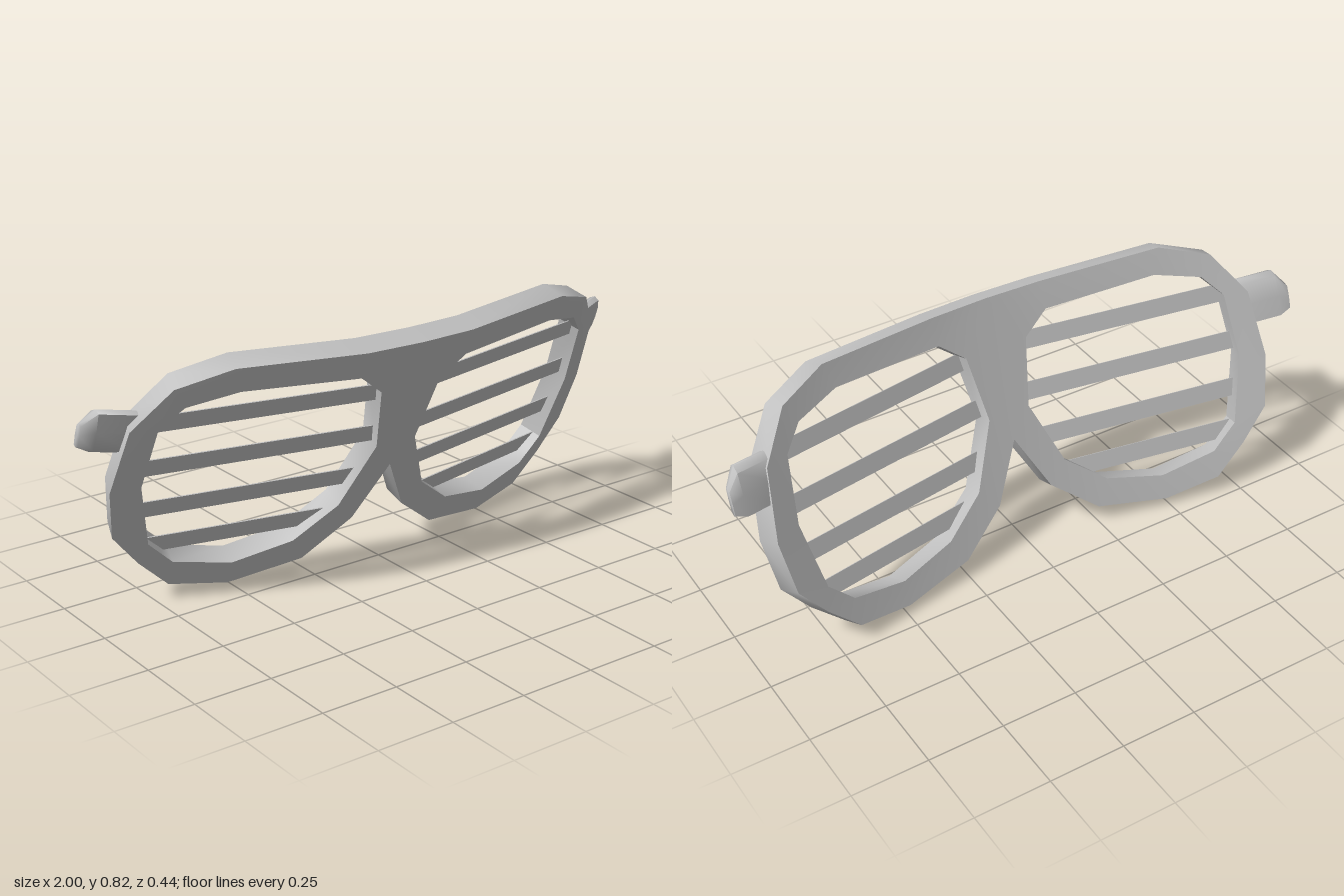
import * as THREE from 'three';
import { toCreasedNormals } from 'three/addons/utils/BufferGeometryUtils.js';

const DEPTH = 0.08;
const TILT = 0.372; // forward lean of the face, dz per dy
const BOW = 0.2;    // wrap around the head, dz = -BOW * x^2

// Moves flat geometry onto the leaning, bowed face; z = 0 is the back, z = DEPTH the front.
function wrap(geometry) {
  const p = geometry.attributes.position;
  const n = new THREE.Vector3();
  for (let i = 0; i < p.count; i++) {
    const x = p.getX(i), y = p.getY(i), back = DEPTH - p.getZ(i);
    n.set(2 * BOW * x, -TILT, 1).normalize();
    p.setXYZ(i, x - back * n.x, y - back * n.y, -0.064 + TILT * y - BOW * x * x - back * n.z);
  }
  return toCreasedNormals(geometry, 0.6);
}

// One half of the frame, clockwise from top centre: outer x, y paired with lens opening x, y
const RIM = [
  [0, 0.777, 0.112, 0.625], [0.2, 0.778, 0.2, 0.692], [0.62, 0.797, 0.59, 0.716],
  [0.787, 0.75, 0.745, 0.685], [0.89, 0.62, 0.81, 0.62], [0.917, 0.41, 0.83, 0.42],
  [0.889, 0.245, 0.78, 0.205], [0.8, 0.137, 0.7375, 0.164], [0.695, 0.037, 0.695, 0.123],
  [0.503, 0.002, 0.503, 0.08], [0.257, 0.037, 0.305, 0.118], [0.1, 0.155, 0.166, 0.22],
  [0, 0.335, 0.075, 0.42],
];

function frameGeometry() {
  const v = [];
  for (const side of [1, -1]) {
    // Corners run anticlockwise for the left half; the mirrored half is turned round
    const quad = (a, b, c, d) => {
      const order = side > 0 ? [a, b, c, a, c, d] : [a, c, b, a, d, c];
      for (const [x, y, z] of order) v.push(side * x, y, z);
    };
    RIM.forEach(([ox, oy, lx, ly], i) => {
      const [ox2, oy2, lx2, ly2] = RIM[(i + 1) % RIM.length];
      const o = z => [ox, oy, z], o2 = z => [ox2, oy2, z];
      const l = z => [lx, ly, z], l2 = z => [lx2, ly2, z];
      quad(o(DEPTH), l(DEPTH), l2(DEPTH), o2(DEPTH)); // front
      quad(o(0), o2(0), l2(0), l(0));                 // back
      quad(l(DEPTH), l(0), l2(0), l2(DEPTH));         // lens wall
      // Outer wall, left open where the halves meet
      if (i < RIM.length - 1) quad(o(DEPTH), o2(DEPTH), o2(0), o(0));
    });
  }
  const g = new THREE.BufferGeometry();
  g.setAttribute('position', new THREE.Float32BufferAttribute(v, 3));
  return wrap(g);
}

// Slats: inner x, outer x, centre y
const SLATS = [[0.1, 0.825, 0.611], [0.07, 0.84, 0.457], [0.085, 0.835, 0.306], [0.18, 0.79, 0.172]];

function slatGeometry(side, [inner, outer, y]) {
  const g = new THREE.BoxGeometry(outer - inner, 0.056, 0.004);
  g.translate(side * (inner + outer) / 2, y, DEPTH * 0.63);
  const p = g.attributes.position;
  for (let i = 0; i < p.count; i++) p.setY(i, p.getY(i) + 0.015 * (Math.abs(p.getX(i)) - 0.45));
  return wrap(g);
}

// Arm stub sections: x, z centre, half thickness, y centre, half height
const STUB = [
  [0.85, -0.04, 0.026, 0.6, 0.073],
  [0.962, -0.082, 0.026, 0.617, 0.073],
  [1.0, -0.097, 0.014, 0.605, 0.04],
];

function stubGeometry(side) {
  const g = new THREE.CylinderGeometry(1, 1, 2, 8, 2);
  g.rotateZ(-side * Math.PI / 2);
  const p = g.attributes.position;
  const square = v => Math.sign(v) * Math.pow(Math.abs(v), 0.45);
  for (let i = 0; i < p.count; i++) {
    const [x, z, halfT, y, halfH] = STUB[Math.round(side * p.getX(i)) + 1];
    const py = y + halfH * square(p.getY(i));
    p.setXYZ(i, side * x, py, z + halfT * square(p.getZ(i)) + TILT * (py - 0.61));
  }
  return toCreasedNormals(g, 1.15);
}

export function createModel() {
  const model = new THREE.Group();
  model.name = 'shutterGlasses';
  const grey = new THREE.MeshStandardMaterial({ color: 0xc0c0c0 });
  grey.name = 'greyPlastic';

  const add = (name, geometry) => {
    const mesh = new THREE.Mesh(geometry, grey);
    mesh.name = name;
    model.add(mesh);
  };

  add('frame', frameGeometry());
  for (const side of [1, -1]) {
    const label = side > 0 ? 'left' : 'right';
    // Thin shutter slats halfway through the frame, rising slightly outwards
    SLATS.forEach((slat, i) => add(`${label}Slat${i + 1}`, slatGeometry(side, slat)));
    add(`${label}ArmStub`, stubGeometry(side));
  }
  return model;
}
